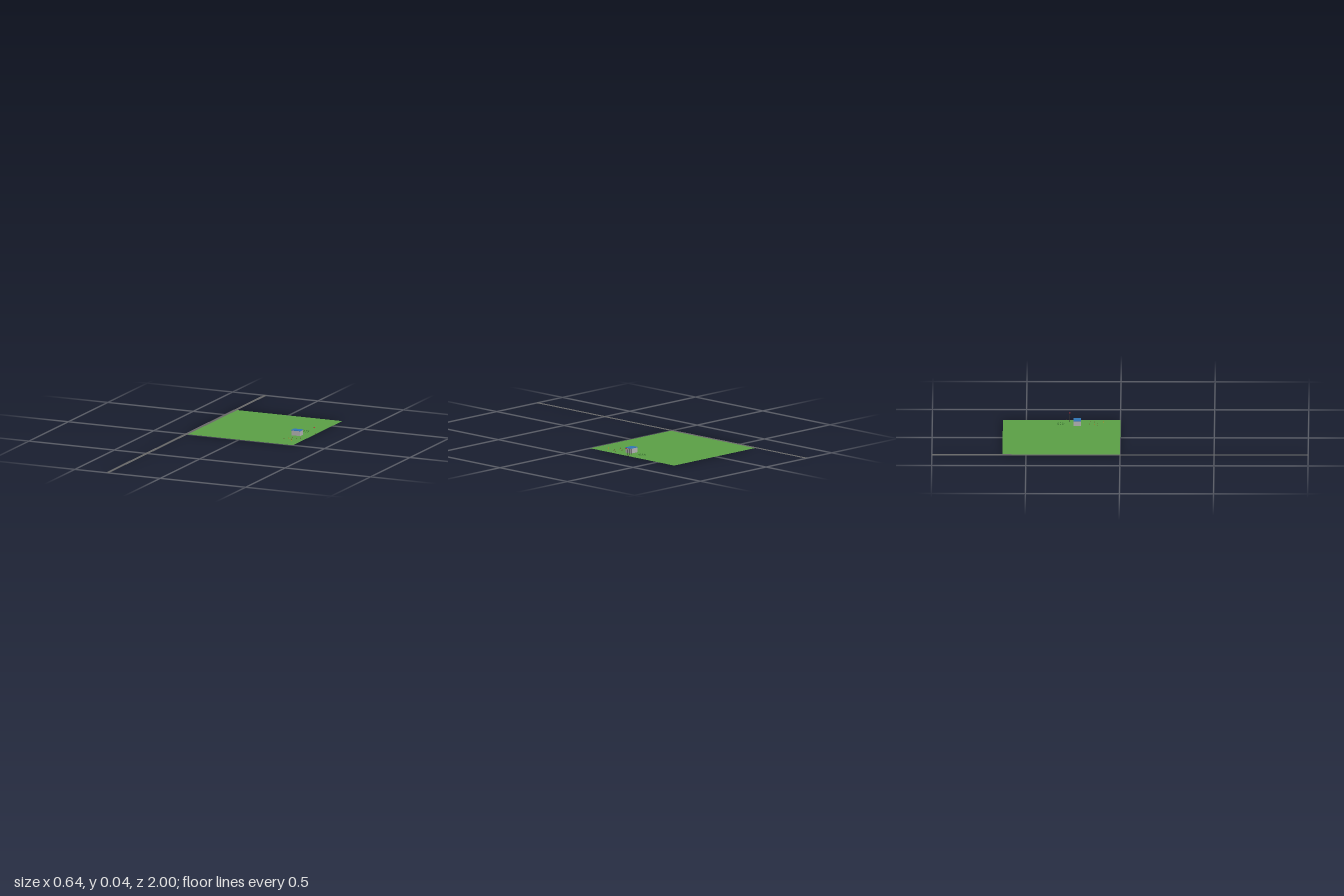
import * as THREE from 'three';

const mat = (color, side = THREE.FrontSide) => new THREE.MeshStandardMaterial({ color, side });

export function createModel() {
  const model = new THREE.Group();
  const add = (name, geometry, material, x, y, z, parent = model) => {
    const mesh = new THREE.Mesh(geometry, material);
    mesh.name = name;
    mesh.position.set(x, y, z);
    parent.add(mesh);
    return mesh;
  };
  const group = (name) => {
    const g = new THREE.Group();
    g.name = name;
    model.add(g);
    return g;
  };

  // Flat lawn and the long road along its side
  const sheet = (w, d) => new THREE.PlaneGeometry(w, d).rotateX(-Math.PI / 2);
  add('lawn', sheet(0.625, 0.625), mat(0x5a9e45, THREE.DoubleSide), 0.0025, 0, -0.3125);
  add('road', sheet(0.02, 2), mat(0x666666, THREE.DoubleSide), -0.309, 0.0006, 0);

  // Flat-roofed building
  const house = group('house');
  add('walls', new THREE.BoxGeometry(0.052, 0.026, 0.039), mat(0xb0b0b0), 0.234, 0.013, -0.23, house);
  add('roof', new THREE.BoxGeometry(0.053, 0.0025, 0.04), mat(0x2f75b5), 0.234, 0.02725, -0.23, house);

  // Row of thin poles
  const poles = group('poles');
  const dark = mat(0x333333);
  const poleGeometry = new THREE.CylinderGeometry(0.0007, 0.0007, 0.032, 8);
  for (const x of [0.278, 0.293, 0.308]) add('pole', poleGeometry, dark, x, 0.016, -0.27, poles);

  // Red ball above the end of the row
  add('ball', new THREE.SphereGeometry(0.0035, 16, 12), mat(0xc03038), 0.3155, 0.0395, -0.27);

  // Ring of low bushes behind the building
  const ring = group('bushRing');
  const bushGeometry = new THREE.SphereGeometry(0.003, 8, 6);
  const bushMaterial = mat(0x4f9440);
  for (let i = 0; i < 10; i++) {
    const a = (i / 10) * Math.PI * 2;
    add('bush', bushGeometry, bushMaterial,
      0.243 + 0.016 * Math.cos(a), 0.003, -0.318 + 0.018 * Math.sin(a), ring);
  }

  // Small seats scattered on the grass in front
  const seats = group('seats');
  const seatGeometry = new THREE.BoxGeometry(0.004, 0.003, 0.003);
  const wood = mat(0x6b4a2b);
  for (const [x, z] of [[0.207, -0.12], [0.252, -0.12], [0.272, -0.136],
    [0.285, -0.16], [0.237, -0.162], [0.314, -0.286]]) {
    add('seat', seatGeometry, wood, x, 0.0025, z, seats);
  }

  // Little standing markers
  const markers = group('markers');
  const yellow = mat(0xc9962e);
  for (const [x, z, h] of [[0.263, -0.089, 0.01], [0.228, -0.138, 0.008]]) {
    add('markerPost', new THREE.CylinderGeometry(0.0008, 0.0018, h, 8), yellow, x, h / 2, z, markers);
    add('markerTop', new THREE.SphereGeometry(0.0012, 8, 6), yellow, x, h + 0.0006, z, markers);
  }
  return model;
}
